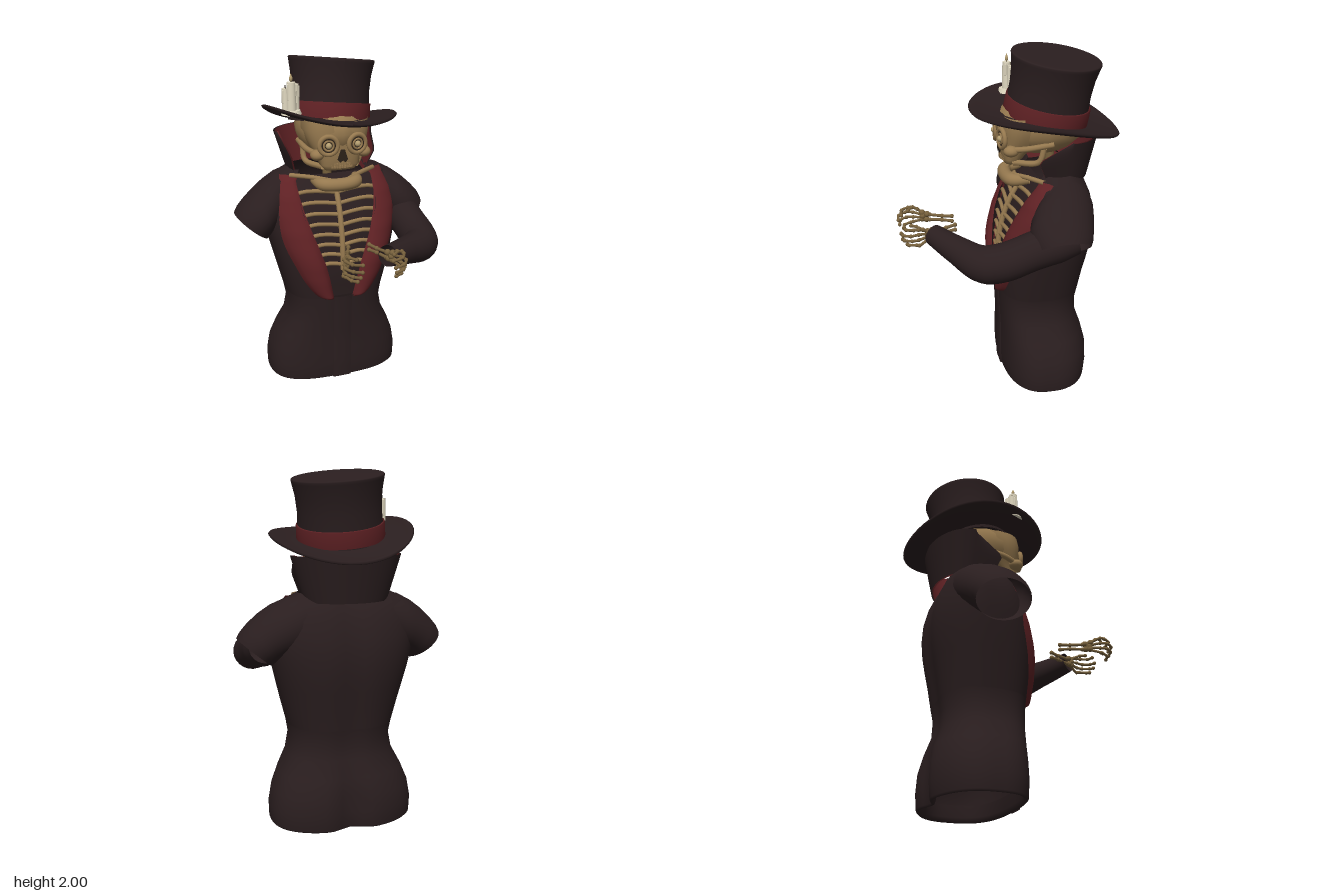
import * as THREE from 'three';
import { mergeVertices } from 'three/addons/utils/BufferGeometryUtils.js';

const mat = (name, color) => {
  const m = new THREE.MeshStandardMaterial({ color, side: THREE.DoubleSide });
  m.name = name;
  return m;
};
const V = (x, y, z) => new THREE.Vector3(x, y, z);
const lerp = THREE.MathUtils.lerp;

// Smooth surface through rows of [x, y, z] points
function loft(rows) {
  const pos = rows.flat(2), idx = [], n = rows[0].length;
  for (let i = 0; i < rows.length - 1; i++)
    for (let j = 0; j < n - 1; j++) {
      const a = i * n + j, b = a + n;
      idx.push(a, a + 1, b, b, a + 1, b + 1);
    }
  let g = new THREE.BufferGeometry();
  g.setAttribute('position', new THREE.Float32BufferAttribute(pos, 3));
  g.setIndex(idx);
  g = mergeVertices(g, 1e-5);
  g.computeVertexNormals();
  return g;
}

// Tube along points whose radius follows a list
function taperTube(points, radii, segs = 30, sides = 18) {
  const curve = new THREE.CatmullRomCurve3(points.map(p => V(...p)));
  const f = curve.computeFrenetFrames(segs), rows = [];
  for (let i = 0; i <= segs; i++) {
    const t = i / segs, k = Math.min(t * (radii.length - 1), radii.length - 1.0001), n = Math.floor(k);
    const r = lerp(radii[n], radii[n + 1], k - n), c = curve.getPointAt(t), row = [];
    for (let j = 0; j <= sides; j++) {
      const a = (j % sides) / sides * Math.PI * 2;
      row.push(c.clone().addScaledVector(f.normals[i], r * Math.cos(a)).addScaledVector(f.binormals[i], r * Math.sin(a)).toArray());
    }
    rows.push(row);
  }
  return loft(rows);
}

// Rounded horizontal section, squarer in front, optionally open there by half-width gap
const FRONT = 0.7, BACK = 0.87;
function section(y, hw, zf, zb, gap = 0, groove = 0, n = 56) {
  const t0 = Math.asin((gap / hw) ** (1 / FRONT)), zc = (zf + zb) / 2, d = (zf - zb) / 2, row = [];
  for (let j = 0; j <= n; j++) {
    const t = lerp(t0, Math.PI * 2 - t0, j / n), s = Math.sin(t), c = Math.cos(t), p = c < 0 ? BACK : FRONT;
    const x = hw * Math.sign(s) * Math.abs(s) ** p, z = zc + d * Math.sign(c) * Math.abs(c) ** p;
    row.push([x, y, z + (c < 0 ? groove * Math.exp(-((x / 0.08) ** 2)) : 0)]);
  }
  return row;
}

// Coat profile: height, half width, front z, back z, half opening
const COAT = [
  [0.012, 0.417, 0.05, -0.47, 0], [0.1, 0.42, 0.055, -0.478, 0], [0.2, 0.402, 0.055, -0.474, 0],
  [0.3, 0.362, 0.055, -0.448, 0], [0.4, 0.31, 0.06, -0.414, 0], [0.5, 0.29, 0.065, -0.412, 0],
  [0.575, 0.303, 0.07, -0.427, 0], [0.58, 0.304, 0.07, -0.428, 0.07], [0.7, 0.335, 0.082, -0.447, 0.095],
  [0.8, 0.36, 0.083, -0.467, 0.12], [0.9, 0.385, 0.073, -0.483, 0.155], [1.0, 0.405, 0.055, -0.49, 0.19],
  [1.1, 0.42, 0.02, -0.482, 0.22], [1.2, 0.41, -0.03, -0.457, 0.24], [1.28, 0.36, -0.09, -0.422, 0.245],
  [1.335, 0.26, -0.14, -0.37, 0.2]];
function profile(y) {
  let i = 0;
  while (i < COAT.length - 2 && COAT[i + 1][0] < y) i++;
  const t = THREE.MathUtils.clamp((y - COAT[i][0]) / (COAT[i + 1][0] - COAT[i][0]), 0, 1);
  return COAT[i].map((v, k) => lerp(v, COAT[i + 1][k], t));
}
function frontZ(x, y) {
  const [, hw, zf, zb] = profile(y), q = Math.min(Math.abs(x) / hw, 0.94);
  return (zf + zb) / 2 + (zf - zb) / 2 * (1 - q ** (2 / FRONT)) ** (FRONT / 2);
}

export function createModel() {
  const model = new THREE.Group();
  const cloth = mat('dark cloth', 0x2a1e1f), red = mat('red cloth', 0x5f2124);
  const bone = mat('bone', 0x96794f), handBone = mat('old hand bone', 0x76603c);
  const socket = mat('socket dark', 0x2c2219), wax = mat('candle wax', 0xe0d8c0), pale = mat('pale eye', 0xb39d70);
  const add = (name, geo, m, parent = model, p) => {
    const mesh = new THREE.Mesh(geo, m);
    mesh.name = name;
    if (p) mesh.position.set(...p);
    parent.add(mesh);
    return mesh;
  };
  const group = (name, parent = model) => {
    const g = new THREE.Group();
    g.name = name;
    parent.add(g);
    return g;
  };
  const mirror = (g, name) => {
    const c = g.clone();
    c.name = name;
    c.scale.x = -1;
    model.add(c);
  };
  const ball = (name, r, p, m, parent, s = [1, 1, 1]) =>
    add(name, new THREE.SphereGeometry(r, 16, 12), m, parent, p).scale.set(...s);

  // Coat body with a turned-in hem, and front placket
  const hem = [[0.1, 0.03], [0.03, 0.028], [0.006, 0.02], [0.001, 0.01]].map(([y, inset]) =>
    section(y, 0.417 - inset, 0.05 - inset, -0.47 + inset, 0, 0.05));
  add('coatBody', loft([...hem, ...COAT.map(([y, hw, zf, zb, gap]) =>
    section(y, hw, zf, zb, gap, y < 0.25 ? 0.05 : 0.018))]), cloth);
  const placket = [];
  for (let i = 0; i <= 16; i++) {
    const y = lerp(0.005, 0.58, i / 16);
    placket.push([-0.063, -0.06, 0, 0.052, 0.055].map((x, k) => [x, y, frontZ(x, y) + (k % 4 ? 0.008 : -0.004)]));
  }
  add('frontPlacket', loft(placket), cloth);

  // Dark shirt behind the ribs
  const shirt = [];
  for (let i = 0; i <= 20; i++) {
    const y = lerp(0.57, 1.3, i / 20), w = profile(Math.max(y, 0.581))[4] + 0.03, row = [];
    for (let j = -8; j <= 8; j++) row.push([w * j / 8, y, frontZ(w * j / 8, y) - 0.035]);
    shirt.push(row);
  }
  add('shirt', loft(shirt), cloth);

  // Padded lapels and short shoulder sleeves
  const side = group('leftCoatSide');
  const outer = new THREE.CatmullRomCurve3([[0.1, 0.57], [0.165, 0.6], [0.24, 0.7], [0.29, 0.8], [0.335, 0.9],
    [0.362, 1.0], [0.368, 1.1], [0.352, 1.2], [0.315, 1.31]].map(([x, y]) => V(x, y, 0)));
  const lapel = [];
  for (let i = 0; i <= 32; i++) {
    const o = outer.getPoint(i / 32), gap = Math.max(profile(Math.max(o.y, 0.581))[4], 0.068), row = [];
    const puff = Math.min(1, 0.4 + i / 4) * lerp(0.04, 0.014, THREE.MathUtils.clamp((o.y - 0.85) / 0.25, 0, 1));
    for (let j = 0; j <= 10; j++) {
      const s = j / 10, x = lerp(Math.min(gap, 0.25) - 0.01, o.x, s);
      row.push([x, o.y, frontZ(x, o.y) - 0.006 + puff * Math.sin(Math.PI * s) ** 0.5]);
    }
    lapel.push(row);
  }
  add('lapel', loft(lapel), red, side);
  // each ring: top x, top y, bottom x, bottom y, centre z, depth radius
  const sleeve = [[0.22, 1.335, 0.26, 1.02, -0.28, 0.14], [0.32, 1.31, 0.32, 0.99, -0.255, 0.165],
    [0.4, 1.27, 0.36, 0.97, -0.225, 0.18], [0.47, 1.22, 0.38, 0.955, -0.21, 0.18], [0.53, 1.165, 0.39, 0.945, -0.205, 0.173],
    [0.57, 1.12, 0.395, 0.94, -0.203, 0.165], [0.59, 1.085, 0.4, 0.93, -0.2, 0.155]].map(([tx, ty, bx, by, z, r]) => {
    const row = [];
    for (let j = 0; j <= 32; j++) {
      const a = (j % 32) / 32 * Math.PI * 2, k = (1 + Math.cos(a)) / 2;
      row.push([lerp(bx, tx, k), lerp(by, ty, k), z + r * Math.sin(a)]);
    }
    return row;
  });
  add('shoulderSleeve', loft(sleeve), cloth, side);
  mirror(side, 'rightCoatSide');

  // Left arm sleeve, bent at the elbow
  add('leftArmSleeve', taperTube([[0.45, 1.05, -0.28], [0.443, 1.0, -0.07], [0.447, 0.945, 0.12], [0.42, 0.932, 0.225],
    [0.27, 0.96, 0.35], [0.12, 0.995, 0.46]], [0.09, 0.108, 0.108, 0.106, 0.108, 0.107, 0.092, 0.08, 0.07, 0.06], 40, 24), cloth);

  // Standing collar with pointed wings and red lining
  const collar = inset => {
    const rows = [];
    for (let i = 0; i <= 10; i++) {
      const v = i / 10, R = lerp(0.235, 0.312, v) - inset, D = lerp(0.16, 0.21, v) - inset;
      const end = v < 0.55 ? lerp(-0.18, -0.12, v / 0.55) : lerp(-0.12, -0.3, (v - 0.55) / 0.45);
      const half = [];
      for (let j = 0; j <= 12; j++) {
        const a = j / 12 * Math.PI / 2;
        half.push([R * Math.sin(a), lerp(1.29, 1.54, v), -0.3 - D * Math.cos(a)]);
      }
      for (let j = 1; j <= 4; j++) half.push([R * (1 - 0.015 * j), half[0][1], lerp(-0.3, end, j / 4)]);
      rows.push([...half.slice(1).reverse().map(([x, y, z]) => [-x, y, z]), ...half]);
    }
    return loft(rows);
  };
  add('collarOuter', collar(0), cloth);
  add('collarLining', collar(0.01), red);

  // Ribcage, neck and collarbones
  const ribs = group('ribcage');
  const rod = (name, pts, r, m, parent) => add(name, taperTube(pts, [r, r], 20, 8), m, parent);
  rod('breastbone', [0.755, 0.9, 1.05, 1.15, 1.25].map(y => [0, y, frontZ(0, y) - 0.022]), 0.017, bone, ribs);
  for (let i = 0; i < 8; i++) {
    const y = 0.785 + i * 0.06, w = profile(y)[4] + 0.02;
    for (const s of [-1, 1])
      rod('rib', [[0, 0], [0.35, 0.012], [0.7, 0.016], [1, 0.004]].map(([k, rise]) =>
        [s * w * k, y + rise, frontZ(w * k, y + rise) - 0.027]), 0.0125, bone, ribs);
  }
  add('neckSpine', new THREE.CylinderGeometry(0.028, 0.028, 0.22, 12), handBone, ribs, [0, 1.36, -0.25]);
  add('breastPlate', taperTube([[-0.13, 1.285, -0.1], [-0.1, 1.28, -0.01], [0, 1.275, 0.012], [0.1, 1.28, -0.01], [0.13, 1.285, -0.1]],
    [0.024, 0.038, 0.038, 0.038, 0.024]), bone, ribs);
  for (const s of [-1, 1])
    rod('collarbone', [[s * 0.05, 1.3, 0], [s * 0.15, 1.31, -0.07], [s * 0.26, 1.31, -0.15]], 0.014, bone, ribs);

  // Skull
  const skull = group('skull');
  ball('cranium', 1, [0, 1.58, -0.19], bone, skull, [0.206, 0.175, 0.26]);
  add('face', loft([[1.368, 0.01, 0, -0.01], [1.37, 0.09, 0.03, -0.04], [1.4, 0.118, 0.042, -0.08], [1.44, 0.125, 0.045, -0.12],
    [1.48, 0.15, 0.05, -0.2], [1.54, 0.18, 0.05, -0.25], [1.6, 0.195, 0.055, -0.3], [1.65, 0.19, 0.045, -0.3]]
    .map(r => section(...r, 0, 0, 36))), bone, skull);
  for (const s of [-1, 1]) {
    ball('cheek', 0.04, [s * 0.14, 1.465, 0.01], bone, skull, [1, 0.8, 1.1]);
    rod('cheekArch', [[s * 0.14, 1.47, 0.02], [s * 0.18, 1.485, -0.08], [s * 0.185, 1.5, -0.22]], 0.017, bone, skull);
    rod('jawBranch', [[s * 0.175, 1.48, -0.17], [s * 0.17, 1.4, -0.14], [s * 0.1, 1.385, -0.01]], 0.017, bone, skull);
    const eye = group('eye', skull);
    eye.position.set(s * 0.085, 1.525, 0.052);
    eye.rotation.y = s * 0.15;
    add('socketRim', new THREE.TorusGeometry(0.052, 0.014, 10, 28), bone, eye);
    add('socketHole', new THREE.CylinderGeometry(0.049, 0.049, 0.008, 24).rotateX(Math.PI / 2), socket, eye, [0, 0, 0.003]);
    add('eyeRing', new THREE.TorusGeometry(0.028, 0.006, 8, 24), bone, eye, [0, 0, 0.008]);
    ball('eyeball', 0.018, [0, 0, 0.008], pale, eye);
  }
  const nose = new THREE.Shape([[-0.03, -0.022], [-0.016, -0.04], [0, -0.028], [0.016, -0.04], [0.03, -0.022], [0.012, 0.035], [-0.012, 0.035]]
    .map(p => new THREE.Vector2(...p)));
  add('noseHole', new THREE.ExtrudeGeometry(nose, { depth: 0.008, bevelEnabled: false }), socket, skull, [0, 1.46, 0.046]);
  for (let i = -4; i <= 4; i++)
    for (const y of [1.392, 1.409])
      add('tooth', new THREE.BoxGeometry(0.012, 0.014, 0.012), bone, skull, [i * 0.0145, y, 0.042 - i * i * 0.0006]);

  // Skeletal hand with forearm stubs, mirrored
  const hand = group('leftHand');
  const chain = (name, pts, r) => {
    rod(name, pts, r, handBone, hand);
    pts.forEach(p => ball('joint', r * 1.4, p, handBone, hand));
  };
  for (const d of [-0.016, 0.016]) chain('forearmBone', [[0.062, 1 + d, 0.325], [0.085, 1 + d * 0.8, 0.38], [0.113, 1 + d, 0.45]], 0.009);
  for (const [x, y, z] of [[0.115, 1.02, 0.465], [0.12, 0.985, 0.468], [0.128, 1.005, 0.49], [0.134, 1.025, 0.492], [0.132, 0.985, 0.492]])
    ball('wristBone', 0.018, [x, y, z], handBone, hand);
  for (let i = 0; i < 4; i++) {
    const y = 1.052 - i * 0.032, e = [0.018, 0, 0.006, 0.03][i], tip = 0.085 + i * 0.008;
    chain('finger', [[0.128, 1.018 - i * 0.012, 0.48], [0.16 + e * 0.2, y, 0.545], [0.17 - e * 0.4, y, 0.59 - e],
      [0.14, y - 0.005, 0.63 - e], [tip, y - 0.014, 0.637 - e]], 0.008);
  }
  chain('thumb', [[0.128, 1.018, 0.48], [0.145, 1.045, 0.52], [0.135, 1.06, 0.555], [0.105, 1.055, 0.58]], 0.008);
  mirror(hand, 'rightHand');

  // Tilted top hat with a flatter crown top and upturned brim sides
  const hat = group('topHat');
  hat.position.set(0, 1.6, -0.215);
  hat.rotation.set(-0.175, 0, -0.105);
  const lathe = pts => new THREE.LatheGeometry(pts.map(p => new THREE.Vector2(...p)), 56);
  const bend = (geo, rule) => {
    const p = geo.attributes.position;
    for (let i = 0; i < p.count; i++) p.setXYZ(i, ...rule(p.getX(i), p.getY(i), p.getZ(i)));
    geo.computeVertexNormals();
    return geo;
  };
  add('hatCrown', bend(lathe([[0.238, 0], [0.235, 0.08], [0.23, 0.18], [0.236, 0.27], [0.25, 0.343], [0.253, 0.356],
    [0.25, 0.362], [0.24, 0.365], [0.12, 0.365], [0, 0.365]]),
  (x, y, z) => [x, y - z * 0.05 * y / 0.36, z + 0.01 * y / 0.36]), cloth, hat);
  add('hatBand', lathe([[0.238, 0.02], [0.245, 0.022], [0.243, 0.11], [0.233, 0.113]]), red, hat);
  add('hatBrim', bend(lathe([[0.225, 0], [0.3, -0.008], [0.4, -0.006], [0.432, 0.002], [0.44, 0.01], [0.432, 0.018],
    [0.4, 0.012], [0.3, 0.01], [0.225, 0.02]]),
  (x, y, z) => [x * 0.895, y + 0.065 * (x / 0.44) ** 2 - 0.012 * (z / 0.44) ** 2, z]), cloth, hat);

  // Melted candles on the brim
  const candles = group('candles');
  candles.position.set(-0.265, 1.692, -0.06);
  add('waxPool', new THREE.CylinderGeometry(0.05, 0.058, 0.024, 24), wax, candles, [0, 0.014, 0]);
  for (const [x, z, h, r] of [[0, 0.005, 0.175, 0.026], [-0.028, -0.012, 0.14, 0.021], [0.028, -0.014, 0.16, 0.022]]) {
    add('candle', new THREE.CylinderGeometry(r * 0.95, r * 1.1, h, 16), wax, candles, [x, h / 2 + 0.005, z]);
    for (let i = 0; i < 3; i++) {
      const a = i * 2.1 + 0.5, l = h * (0.35 + 0.12 * i);
      add('waxDrip', new THREE.CapsuleGeometry(0.006, l, 4, 8), wax, candles,
        [x + r * 0.9 * Math.cos(a), h - l / 2 - 0.008, z + r * 0.9 * Math.sin(a)]);
    }
    add('wick', new THREE.CylinderGeometry(0.003, 0.003, 0.02, 6), socket, candles, [x, h + 0.012, z]);
  }
  add('flame', lathe([[0, 0], [0.01, 0.012], [0.009, 0.025], [0, 0.05]]), pale, candles, [0, 0.18, 0.005]);
  return model;
}
